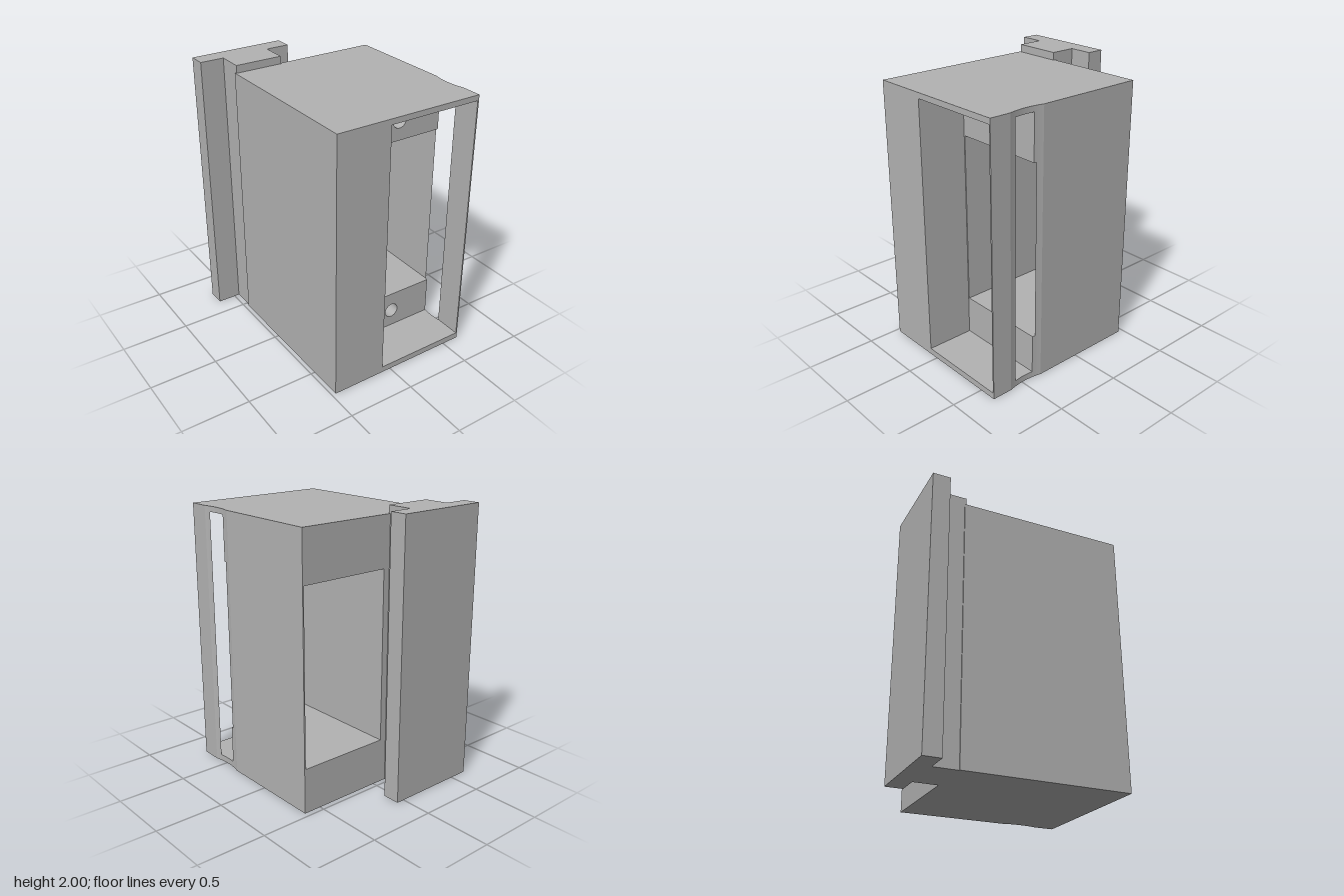
import * as THREE from 'three';

const LEFT = -0.47, RIGHT = 0.632, BACK = -0.463, FRONT = 0.765, HEIGHT = 1.945;
const WALL = 0.622;                        // inside of the thin side wall
const POCKET = { x: -0.07, z: 0.41, y0: 0.045, y1: 1.905 };
const WINDOW = { x: -0.063, y0: 0.328, y1: 1.58 };
const HOLE = { x: 0.28, r: 0.055, half: 0.08, depth: 0.4 };
const GROOVE = { z: 0.478, half: 0.135, depth: 0.017 };

// Side face, as [x, z] points from z0 to z1, following the shallow groove
const grooveX = z => RIGHT - GROOVE.depth * Math.max(0, 1 - ((z - GROOVE.z) / GROOVE.half) ** 2);
function grooveLine(z0, z1) {
  const a = Math.max(z0, GROOVE.z - GROOVE.half);
  const b = Math.min(z1, GROOVE.z + GROOVE.half);
  const pts = a > z0 ? [[RIGHT, z0]] : [];
  for (let i = 0; i <= 16; i++) {
    const z = a + (b - a) * i / 16;
    pts.push([grooveX(z), z]);
  }
  if (b < z1) pts.push([RIGHT, z1]);
  return pts;
}

// Upright prism from an [x, z] outline
function prism(points, y0, y1) {
  const shape = new THREE.Shape(points.map(([x, z]) => new THREE.Vector2(x, -z)));
  return new THREE.ExtrudeGeometry(shape, { depth: y1 - y0, bevelEnabled: false })
    .rotateX(-Math.PI / 2).translate(0, y0, 0);
}

export function createModel() {
  const model = new THREE.Group();
  model.name = 'holder';
  const grey = new THREE.MeshStandardMaterial({ color: 0xb2b2b2 });
  grey.name = 'grey';
  const add = (name, geometry) => {
    const mesh = new THREE.Mesh(geometry, grey);
    mesh.name = name;
    model.add(mesh);
  };

  // Where the groove cuts through the thin wall
  const reach = GROOVE.half * Math.sqrt(1 - (RIGHT - WALL) / GROOVE.depth);
  const slitBack = GROOVE.z - reach, slitFront = GROOVE.z + reach;

  // Closed top and bottom plates
  const full = [[LEFT, FRONT], [LEFT, BACK], ...grooveLine(BACK, FRONT)];
  add('bottomPlate', prism(full, 0, POCKET.y0));
  add('topPlate', prism(full, POCKET.y1, HEIGHT));

  // Blocks behind the front pocket, each with a blind screw hole
  const hx0 = HOLE.x - HOLE.half, hx1 = HOLE.x + HOLE.half, hz = POCKET.z - HOLE.depth;
  const block = [
    [LEFT, FRONT], [LEFT, BACK], ...grooveLine(BACK, POCKET.z),
    [hx1, POCKET.z], [hx1, hz], [hx0, hz], [hx0, POCKET.z],
    [POCKET.x, POCKET.z], [POCKET.x, FRONT],
  ];
  for (const [name, y0, y1, holeY] of [
    ['lower', POCKET.y0, WINDOW.y0, 0.178],
    ['upper', WINDOW.y1, POCKET.y1, 1.725],
  ]) {
    add(name + 'Block', prism(block, y0, y1));
    const face = new THREE.Shape([[hx0, y0], [hx1, y0], [hx1, y1], [hx0, y1]]
      .map(([x, y]) => new THREE.Vector2(x, y)));
    face.holes.push(new THREE.Path().absarc(HOLE.x, holeY, HOLE.r, 0, Math.PI * 2, true));
    add(name + 'ScrewHole', new THREE.ExtrudeGeometry(face,
      { depth: HOLE.depth, bevelEnabled: false, curveSegments: 24 }).translate(0, 0, hz));
  }

  // Solid column beside the through window
  add('column', prism([
    [LEFT, FRONT], [LEFT, BACK], [WINDOW.x, BACK], [WINDOW.x, POCKET.z],
    [POCKET.x, POCKET.z], [POCKET.x, FRONT],
  ], WINDOW.y0, WINDOW.y1));

  // Thin side wall behind and in front of the slit
  add('sideWall', prism([[WALL, BACK], ...grooveLine(BACK, slitBack)], WINDOW.y0, WINDOW.y1));
  add('frontPost', prism([...grooveLine(slitFront, FRONT), [WALL, FRONT]], POCKET.y0, POCKET.y1));

  // T-shaped mounting rail on the back
  add('mountingRail', prism([
    [-0.635, -0.768], [0.06, -0.768], [0.06, -0.64], [-0.112, -0.64],
    [-0.112, -0.45], [-0.462, -0.45], [-0.462, -0.64], [-0.635, -0.64],
  ], 0, 2));

  return model;
}
